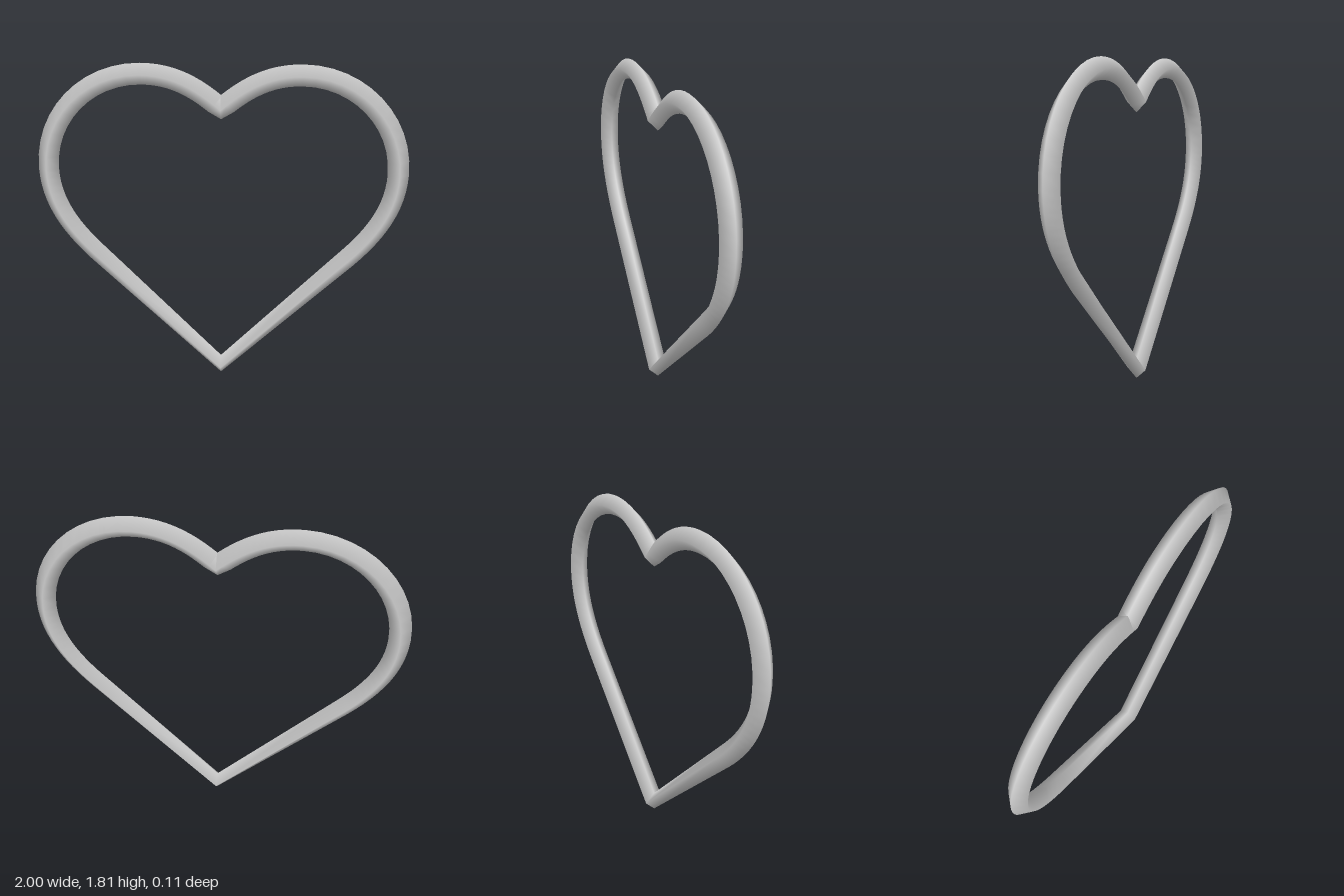
import * as THREE from 'three';

const RADIUS = 0.056;

// Centre line of one half, from the notch over the lobe down to the tip
function halfPath() {
  const v = (x, y) => new THREE.Vector2(x, y);
  const curves = [
    [v(0, 1.58), v(0.13, 1.69), v(0.25, 1.757), v(0.42, 1.757)],
    [v(0.42, 1.757), v(0.705, 1.757), v(0.944, 1.53), v(0.944, 1.24)],
    [v(0.944, 1.24), v(0.944, 1.06), v(0.86, 0.91), v(0.7, 0.75)],
  ];
  const points = [];
  for (const c of curves) {
    const sampled = new THREE.CubicBezierCurve(...c).getPoints(12);
    points.push(...sampled.slice(0, -1));
  }
  points.push(v(0.7, 0.75), v(0, 0.056));
  return points;
}

// Closed four-sided tube swept around the outline with smooth normals
function heartRing() {
  const half = halfPath();
  const mirrored = half.slice(1, -1).reverse().map(p => new THREE.Vector2(-p.x, p.y));
  const path = [...half, ...mirrored];
  const n = path.length;
  const positions = [], normals = [], index = [];
  for (let j = 0; j < n; j++) {
    const p = path[j];
    const before = p.clone().sub(path[(j + n - 1) % n]).normalize();
    const after = path[(j + 1) % n].clone().sub(p).normalize();
    const t = before.add(after).normalize();
    for (let k = 0; k < 4; k++) {
      // corners in order: outer, front, inner, back
      const out = [1, 0, -1, 0][k], front = [0, 1, 0, -1][k];
      const nx = -t.y * out, ny = t.x * out;
      normals.push(nx, ny, front);
      positions.push(p.x + nx * RADIUS, p.y + ny * RADIUS, front * RADIUS);
      const next = ((j + 1) % n) * 4, k2 = (k + 1) % 4;
      const a = j * 4 + k, b = next + k, c = next + k2, d = j * 4 + k2;
      index.push(a, d, b, b, d, c);
    }
  }
  const geometry = new THREE.BufferGeometry();
  geometry.setAttribute('position', new THREE.Float32BufferAttribute(positions, 3));
  geometry.setAttribute('normal', new THREE.Float32BufferAttribute(normals, 3));
  geometry.setIndex(index);
  return geometry;
}

export function createModel() {
  const group = new THREE.Group();
  group.name = 'heartOutline';
  const silver = new THREE.MeshStandardMaterial({ color: 0xcccccc });
  silver.name = 'silver grey';
  const ring = new THREE.Mesh(heartRing(), silver);
  ring.name = 'heartRing';
  group.add(ring);
  return group;
}
